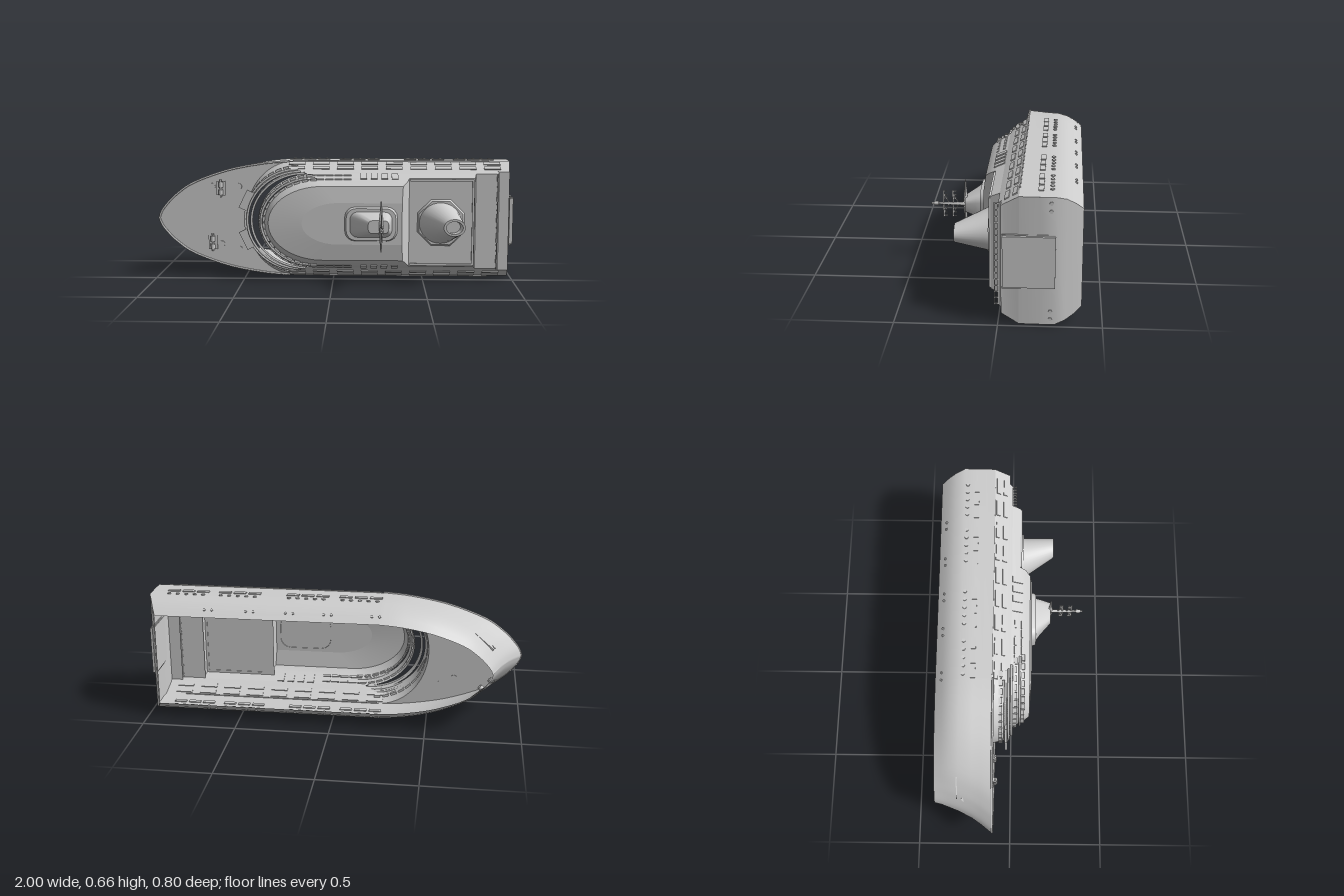
import * as THREE from 'three';
import { toCreasedNormals } from 'three/addons/utils/BufferGeometryUtils.js';

const CY = 0.325; // centreline height; the deck faces +z
const grey = new THREE.MeshStandardMaterial({ color: 0xcccccc, side: THREE.DoubleSide });
grey.name = 'light grey';

// half width of the ship's side at each z
const SIDE = [[-0.4, 0.25], [-0.36, 0.285], [-0.32, 0.31], [-0.27, 0.325], [-0.1, 0.325],
  [-0.03, 0.285], [0, 0.265], [0.045, 0.245], [0.1, 0.205]];

function sideAt(z) {
  let i = 0;
  while (i < SIDE.length - 2 && z > SIDE[i + 1][0]) i++;
  const [z0, w0] = SIDE[i], [z1, w1] = SIDE[i + 1];
  const slope = (w1 - w0) / (z1 - z0);
  return { half: w0 + slope * (z - z0), slope };
}

// plan curves from the nose (0,0) to full width (1,1)
const bowCurve = new THREE.SplineCurve([[0, 0], [0.02, 0.12], [0.067, 0.26], [0.133, 0.41], [0.267, 0.62],
  [0.53, 0.84], [0.8, 0.96], [1, 1]].map(p => new THREE.Vector2(...p))).getPoints(28);
const roundCurve = Array.from({ length: 19 }, (_, i) => {
  const a = i / 18 * Math.PI / 2;
  return new THREE.Vector2(1 - Math.cos(a), Math.sin(a));
});

// plan outline running stern, right side, nose, left side, stern
function plan(curve, z, nose, length, half, stern) {
  const at = (p, s) => new THREE.Vector3(nose + p.x * length, CY + s * p.y * half, z);
  const right = curve.slice(1).reverse().map(p => at(p, -1));
  const left = curve.map(p => at(p, 1));
  return [new THREE.Vector3(stern, CY - half, z), ...right, ...left, new THREE.Vector3(stern, CY + half, z)];
}

function loft(rings, crease = 0.5) {
  const n = rings[0].length, pos = [], idx = [];
  rings.forEach(r => r.forEach(p => pos.push(p.x, p.y, p.z)));
  for (let r = 0; r < rings.length - 1; r++) {
    for (let i = 0; i < n; i++) {
      const a = r * n + i, b = r * n + (i + 1) % n;
      idx.push(a, a + n, b, b, a + n, b + n);
    }
  }
  const g = new THREE.BufferGeometry();
  g.setAttribute('position', new THREE.Float32BufferAttribute(pos, 3));
  g.setIndex(idx);
  return toCreasedNormals(g, crease);
}

function flat(points, z) {
  const g = new THREE.ShapeGeometry(new THREE.Shape(points.map(p => new THREE.Vector2(p.x, p.y))));
  return g.translate(0, 0, z);
}

export function createModel() {
  const ship = new THREE.Group();
  ship.name = 'ship';
  const add = (name, geo, x = 0, y = 0, z = 0) => {
    const m = new THREE.Mesh(geo, grey);
    m.name = name;
    m.position.set(x, y, z);
    ship.add(m);
    return m;
  };
  const box = (name, w, h, d, x, y, z) => add(name, new THREE.BoxGeometry(w, h, d), x, y, z);
  const post = (name, r0, r1, h, x, y, z, n = 16) => // cylinder along z, r1 at the top
    add(name, new THREE.CylinderGeometry(r1, r0, h, n).rotateX(Math.PI / 2), x, y, z);

  // open-bottomed hull: z, nose, half width, stern
  const hullRings = [[-0.4, -0.84, 0.25, 0.93], [-0.36, -0.85, 0.285, 0.95], [-0.32, -0.865, 0.31, 0.967],
    [-0.27, -0.885, 0.325, 0.988], [-0.2, -0.92, 0.325, 0.988], [-0.15, -0.955, 0.325, 0.988],
    [-0.1, -0.995, 0.325, 0.985]].map(([z, n, h, s]) => plan(bowCurve, z, n, -0.25 - n, h, s));
  add('hull', loft(hullRings));

  // superstructure tiers, stepping down toward the stern
  const tier = (z, nose, half, stern) => plan(roundCurve, z, nose, 0.3, half, stern);
  const base = plan(roundCurve, -0.1, -0.5, 0.28, 0.325, 0.985);
  add('lowerSuperstructure', loft([base, tier(-0.03, -0.485, 0.285, 0.975), tier(-0.015, -0.475, 0.275, 0.975)]));
  add('middleSuperstructure', loft([tier(-0.015, -0.465, 0.275, 0.92), tier(0, -0.45, 0.265, 0.91)]));
  add('upperSuperstructure', loft([tier(0, -0.42, 0.265, 0.79), tier(0.045, -0.39, 0.245, 0.78)]));
  add('bridgeDeck', loft([tier(0.045, -0.385, 0.245, 0.42), tier(0.075, -0.375, 0.23, 0.41),
    tier(0.1, -0.355, 0.205, 0.385), plan(roundCurve, 0.112, -0.17, 0.2, 0.115, 0.38)], 0.6));
  add('topDeck', flat(plan(roundCurve, 0, -0.17, 0.2, 0.115, 0.38), 0.112));

  // decks
  const rim = hullRings[6].slice(1, -1);
  add('bowDeck', flat([...rim, ...base.slice(1, -1).reverse()], -0.1));
  const deck = (name, x0, x1, half, z) => add(name, new THREE.PlaneGeometry(x1 - x0, half * 2), (x0 + x1) / 2, CY, z);
  deck('aftDeck', 0.385, 0.78, 0.245, 0.045);
  deck('sternDeck', 0.78, 0.91, 0.265, 0);
  deck('sternLedge', 0.91, 0.976, 0.277, -0.015);
  const tube = (name, pts, r, seg = 80) => add(name, new THREE.TubeGeometry(new THREE.CatmullRomCurve3(pts), seg, r, 6));
  tube('bowBulwark', rim.map(p => p.clone().setZ(-0.094)), 0.006);

  // ledges and rails around the curved front
  const front = (z, nose, half) => plan(roundCurve, z, nose, 0.3, half, 0).slice(1, -1);
  [[-0.03, -0.497, 0.285], [-0.012, -0.482, 0.275], [0.002, -0.457, 0.266], [0.046, -0.4, 0.245]]
    .forEach(([z, n, h]) => tube('frontLedge', front(z, n, h), 0.007));

  // windows following the curved front
  [[0.022, -0.408, 0.257], [0.062, -0.383, 0.238], [-0.055, -0.494, 0.3]].forEach(([z, nose, half]) => {
    for (const s of [-1, 1]) for (let i = 0; i < 10; i++) {
      const a = (i + 0.5) / 10 * Math.PI / 2;
      const w = box('frontWindow', 0.034, 0.012, 0.02,
        nose + 0.3 * (1 - Math.cos(a)), CY + s * half * Math.sin(a), z);
      w.rotation.z = Math.atan2(s * half * Math.cos(a), 0.3 * Math.sin(a));
    }
  });
  for (const s of [-1, 1]) {
    // bridge wings
    const wing = box('bridgeWing', 0.05, 0.11, 0.012, -0.485, CY + s * 0.11, -0.025);
    wing.rotation.z = s * -0.45;

    // windows lying on the sloping sides
    const onSide = (name, geo, x, z) => {
      const { half, slope } = sideAt(z);
      add(name, geo, x, CY + s * half, z).rotation.x = -Math.atan(s * slope);
    };
    const pane = (w, h) => new THREE.BoxGeometry(w, 0.01, h);
    const port = new THREE.CylinderGeometry(0.01, 0.01, 0.01, 12);
    for (let i = 0; i < 9; i++) for (const z of [-0.08, -0.042])
      onSide('cabinWindow', pane(0.092, 0.024), -0.205 + i * 0.136, z);
    for (const x0 of [-0.218, 0.065, 0.432, 0.712]) {
      for (let i = 0; i < 3; i++) onSide('lowerWindow', pane(0.066, 0.026), x0 + i * 0.08, -0.2);
      for (let i = 0; i < 5; i++) onSide('porthole', port, x0 - 0.01 + i * 0.046, -0.252);
    }
    for (let i = 0; i < 4; i++) onSide('tallWindow', pane(0.036, 0.06), 0.17 + i * 0.057, 0.03);
    for (let i = 0; i < 5; i++) for (const z of [0.02, 0.055])
      onSide('slitWindow', pane(0.044, 0.012), -0.12 + i * 0.05, z);
    for (const x of [-0.23, 0.02, 0.22, 0.43, 0.65])
      for (const d of [-0.02, 0.02]) onSide('hullFitting', new THREE.CylinderGeometry(0.007, 0.007, 0.012, 8), x + d, -0.365);
    onSide('sideRail', pane(1.1, 0.006), 0.32, -0.1);

    // bow fittings: hawse ports and anchor slot on the flare
    for (const x of [-0.835, -0.785]) {
      const half = 0.325 * (x < -0.8 ? 0.29 : 0.43);
      add('hawsePort', new THREE.CylinderGeometry(0.014, 0.014, 0.02, 16), x, CY + s * half, -0.24).rotation.z = s * 0.8;
    }
    const slot = box('anchorSlot', 0.13, 0.008, 0.006, -0.79, CY + s * 0.136, -0.278);
    slot.rotation.z = s * 0.72;

    // windlass and deck hatches
    const wx = s > 0 ? -0.64 : -0.69, wy = CY + s * (s > 0 ? 0.17 : 0.14);
    box('windlassBase', 0.05, 0.08, 0.008, wx, wy, -0.095);
    for (const d of [-0.022, 0.022]) add('windlassDrum', new THREE.CylinderGeometry(0.013, 0.013, 0.03, 12), wx, wy + d, -0.083);
    add('windlassShaft', new THREE.CylinderGeometry(0.006, 0.006, 0.1, 8), wx, wy, -0.083);
    post('deckHatch', 0.018, 0.018, 0.008, s > 0 ? -0.69 : -0.64, CY + s * (s > 0 ? 0.18 : 0.15), -0.097, 20);
    post('deckHatch', 0.018, 0.018, 0.008, -0.54, CY + s * 0.18, -0.097, 20);

    // transom seams and ports
    box('transomSeam', 0.008, 0.006, 0.25, 0.987, CY + s * 0.135, -0.145);
    for (const d of [0.255, 0.295])
      add('sternPort', new THREE.CylinderGeometry(0.009, 0.009, 0.008, 16).rotateZ(Math.PI / 2), 0.989, CY + s * d, -0.25);
    // coamings beside the aft deck
    box('aftCoaming', 0.35, 0.012, 0.012, 0.6, CY + s * 0.235, 0.048);
  }
  box('transomPanel', 0.02, 0.26, 0.25, 0.99, CY, -0.147);
  box('aftDeckSill', 0.012, 0.47, 0.014, 0.772, CY, 0.048);

  // stern rail
  for (const z of [0.002, 0.02]) box('sternRail', 0.006, 0.53, 0.005, 0.908, CY, z);
  for (let i = 0; i < 17; i++) box('sternRailPost', 0.006, 0.006, 0.024, 0.908, 0.065 + i * 0.0325, 0.008);

  // raked funnel with hollow mouth
  const oval = (x, z, rx, ry) => Array.from({ length: 32 }, (_, i) => {
    const a = -i / 32 * Math.PI * 2;
    return new THREE.Vector3(x + rx * Math.cos(a), CY + ry * Math.sin(a), z);
  });
  const plinth = post('funnelBase', 0.14, 0.13, 0.02, 0.595, CY, 0.055, 8);
  plinth.rotation.z = Math.PI / 8;
  add('funnel', loft([oval(0.59, 0.06, 0.118, 0.115), oval(0.6, 0.085, 0.108, 0.103), oval(0.657, 0.235, 0.058, 0.046),
    oval(0.657, 0.235, 0.045, 0.034), oval(0.645, 0.195, 0.045, 0.034)]));
  add('funnelFloor', flat(oval(0.645, 0, 0.045, 0.034), 0.195));

  // mast house: stacked rounded rectangles
  const pad = (x, z, hx, hy) => {
    const r = Math.min(hx, hy) * 0.6, pts = [];
    for (let c = 0; c < 4; c++) for (let i = 0; i <= 4; i++) {
      const a = -(c + i / 4) * Math.PI / 2;
      const sx = c === 0 || c === 3 ? 1 : -1, sy = c < 2 ? -1 : 1;
      pts.push(new THREE.Vector3(x + sx * (hx - r) + r * Math.cos(a), CY + sy * (hy - r) + r * Math.sin(a), z));
    }
    return pts;
  };
  add('mastHouse', loft([pad(0.21, 0.11, 0.145, 0.095), pad(0.21, 0.135, 0.135, 0.088), pad(0.21, 0.135, 0.115, 0.07),
    pad(0.225, 0.16, 0.095, 0.06), pad(0.25, 0.218, 0.055, 0.035)]));
  add('mastHouseRoof', flat(pad(0.25, 0, 0.055, 0.035), 0.218));
  add('searchlight', new THREE.CylinderGeometry(0.014, 0.014, 0.07, 12), 0.25, CY, 0.2);

  // mast, radar blade and antenna yards
  post('mast', 0.011, 0.006, 0.15, 0.264, CY, 0.29, 8);
  post('mastHead', 0.013, 0.01, 0.024, 0.264, CY, 0.374, 8);
  post('mastTip', 0.006, 0.006, 0.016, 0.264, CY, 0.392, 8);
  for (const s of [-1, 1]) {
    const blade = add('radarBlade', new THREE.CylinderGeometry(0.003, 0.013, 0.135, 4), 0.264, CY + s * 0.07, 0.217);
    if (s < 0) blade.rotation.z = Math.PI;
    for (const z of [0.285, 0.335]) {
      box('yardArm', 0.006, 0.075, 0.008, 0.264, CY + s * 0.037, z);
      const brace = box('yardBrace', 0.005, 0.06, 0.005, 0.264, CY + s * 0.03, z - 0.014);
      brace.rotation.x = s * 0.5;
      for (const d of [0.03, 0.05, 0.07]) box('yardAerial', 0.005, 0.005, 0.022, 0.264, CY + s * d, z - 0.008);
    }
  }
  return ship;
}
